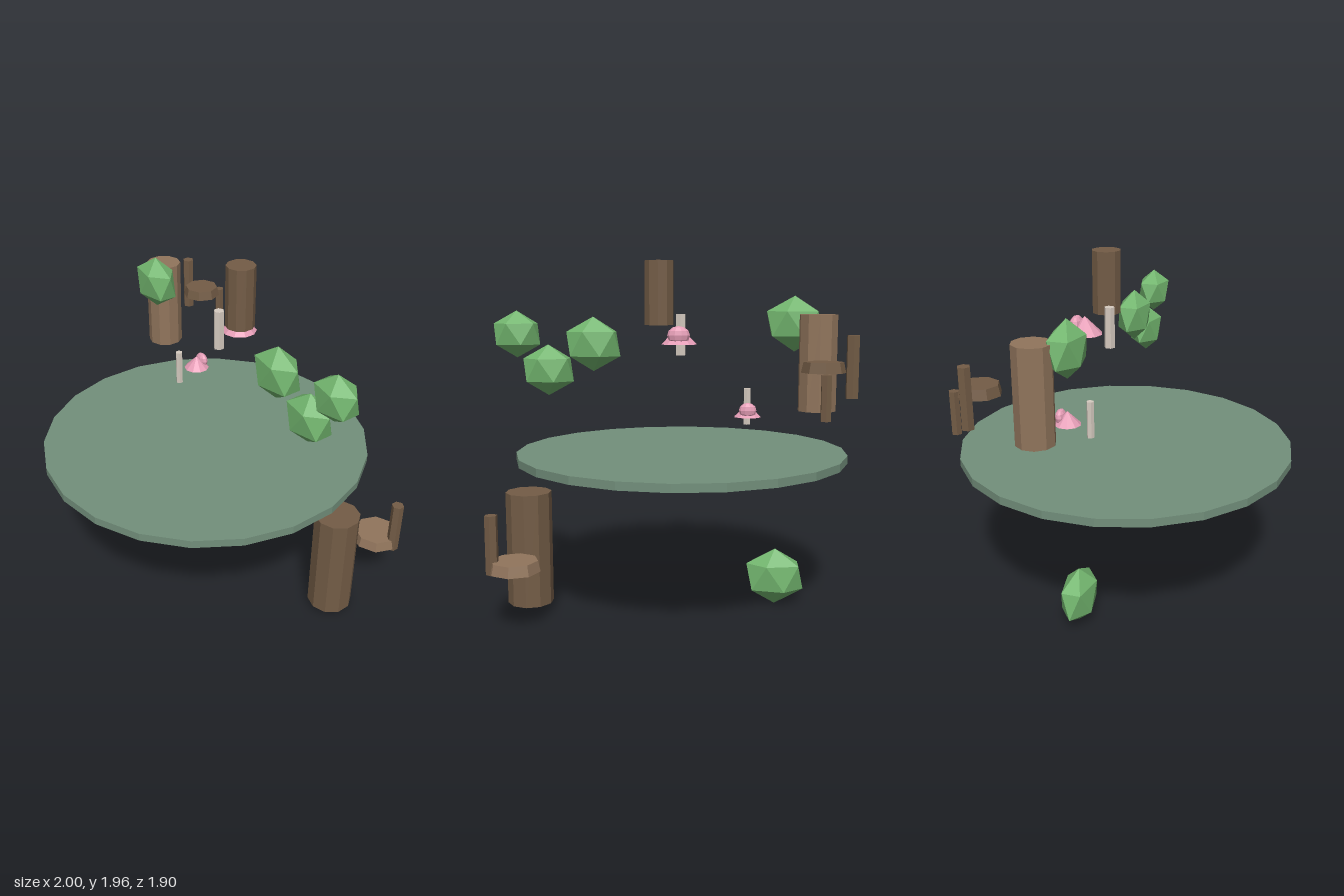
import * as THREE from 'three';
import { ConvexGeometry } from 'three/addons/geometries/ConvexGeometry.js';

const paint = (color) => new THREE.MeshStandardMaterial({ color, flatShading: true });
const MAT = {
  moss: paint(0x728f7b),
  deepMoss: paint(0x4f7463),
  bark: paint(0x735c46),
  lightBark: paint(0x91755c),
  leaf: paint(0x72b56e),
  pink: paint(0xe59db6),
  stem: paint(0xd6cbc0),
};

function add(parent, name, geometry, material, x, y, z) {
  const mesh = new THREE.Mesh(geometry, material);
  mesh.name = name;
  mesh.position.set(x, y, z);
  parent.add(mesh);
  return mesh;
}

// Upright prism between two heights
function post(parent, name, material, x, z, y0, y1, rTop, sides, rBottom = rTop) {
  const geometry = new THREE.CylinderGeometry(rTop, rBottom, y1 - y0, sides);
  return add(parent, name, geometry, material, x, (y0 + y1) / 2, z);
}

// Icosahedron standing on a pole, with one upper ring corner towards +x
function leafGeometry() {
  const h = 1 / Math.sqrt(5), r = 2 * h;
  const points = [new THREE.Vector3(0, 1, 0), new THREE.Vector3(0, -1, 0)];
  for (let i = 0; i < 5; i++) {
    const a = (i * Math.PI * 2) / 5;
    points.push(new THREE.Vector3(r * Math.cos(a), h, r * Math.sin(a)));
    points.push(new THREE.Vector3(-r * Math.cos(a), -h, -r * Math.sin(a)));
  }
  return new ConvexGeometry(points);
}

// Blossom: low cone, a squashed bud behind it and a pale stem in front
function blossom(parent, { x, z, y, r, h, bud, budY, budZ, stemR, stemZ, stemY }) {
  const group = new THREE.Group();
  group.name = 'blossom';
  parent.add(group);
  add(group, 'petalCone', new THREE.ConeGeometry(r, h, 10), MAT.pink, x, y + h / 2, z);
  const ball = add(group, 'bud', new THREE.SphereGeometry(1, 10, 6), MAT.pink, x, budY, budZ);
  ball.scale.set(...bud);
  post(group, 'stem', MAT.stem, x, stemZ, stemY[0], stemY[1], stemR, 6);
}

export function createModel() {
  const model = new THREE.Group();
  model.name = 'floatingGrove';

  // Ground discs
  post(model, 'groundDisc', MAT.moss, -0.06, 0, 0.84, 0.885, 0.95, 22);
  post(model, 'lowerDisc', MAT.deepMoss, 0.025, 0.01, 0.76, 0.79, 0.578, 18);

  // Trunks
  post(model, 'lowerTrunk', MAT.bark, 0.778, -0.292, 0.055, 0.69, 0.128, 10);
  post(model, 'leftTrunk', MAT.lightBark, -0.81, -0.235, 1.15, 1.67, 0.104, 10);
  post(model, 'upperTrunk', MAT.bark, 0.056, -0.15, 1.61, 1.96, 0.082, 10);

  // Stumps with their thin branches
  post(model, 'lowerStump', MAT.lightBark, 0.778, -0.642, 0.342, 0.4, 0.125, 8, 0.138);
  post(model, 'lowerBranch', MAT.bark, 0.89, -0.667, 0.33, 0.645, 0.035, 6);
  post(model, 'upperStump', MAT.bark, -0.81, -0.524, 1.38, 1.435, 0.102, 8, 0.114);
  post(model, 'sideBranch', MAT.bark, -0.955, -0.524, 1.25, 1.57, 0.034, 6);
  post(model, 'backBranch', MAT.bark, -0.81, -0.669, 1.15, 1.38, 0.028, 6);

  // Foliage clumps: x, y, radius
  const leaf = leafGeometry();
  const clumps = [
    [-0.607, 0.168, 0.163], [-0.692, 1.617, 0.153], [0.432, 1.502, 0.153],
    [0.69, 1.355, 0.144], [0.867, 1.557, 0.132],
  ];
  for (const [x, y, r] of clumps) {
    add(model, 'foliage', leaf, MAT.leaf, x, y, -0.102).scale.set(r / 0.894, r, 0.102);
  }

  // Blossoms
  blossom(model, {
    x: -0.06, z: -0.24, y: 1.508, r: 0.1, h: 0.1,
    bud: [0.062, 0.05, 0.036], budY: 1.558, budZ: -0.29,
    stemR: 0.03, stemZ: -0.095, stemY: [1.44, 1.67],
  });
  blossom(model, {
    x: -0.436, z: -0.21, y: 1.11, r: 0.075, h: 0.075,
    bud: [0.048, 0.042, 0.028], budY: 1.15, budZ: -0.25,
    stemR: 0.021, stemZ: -0.08, stemY: [1.05, 1.255],
  });

  return model;
}
